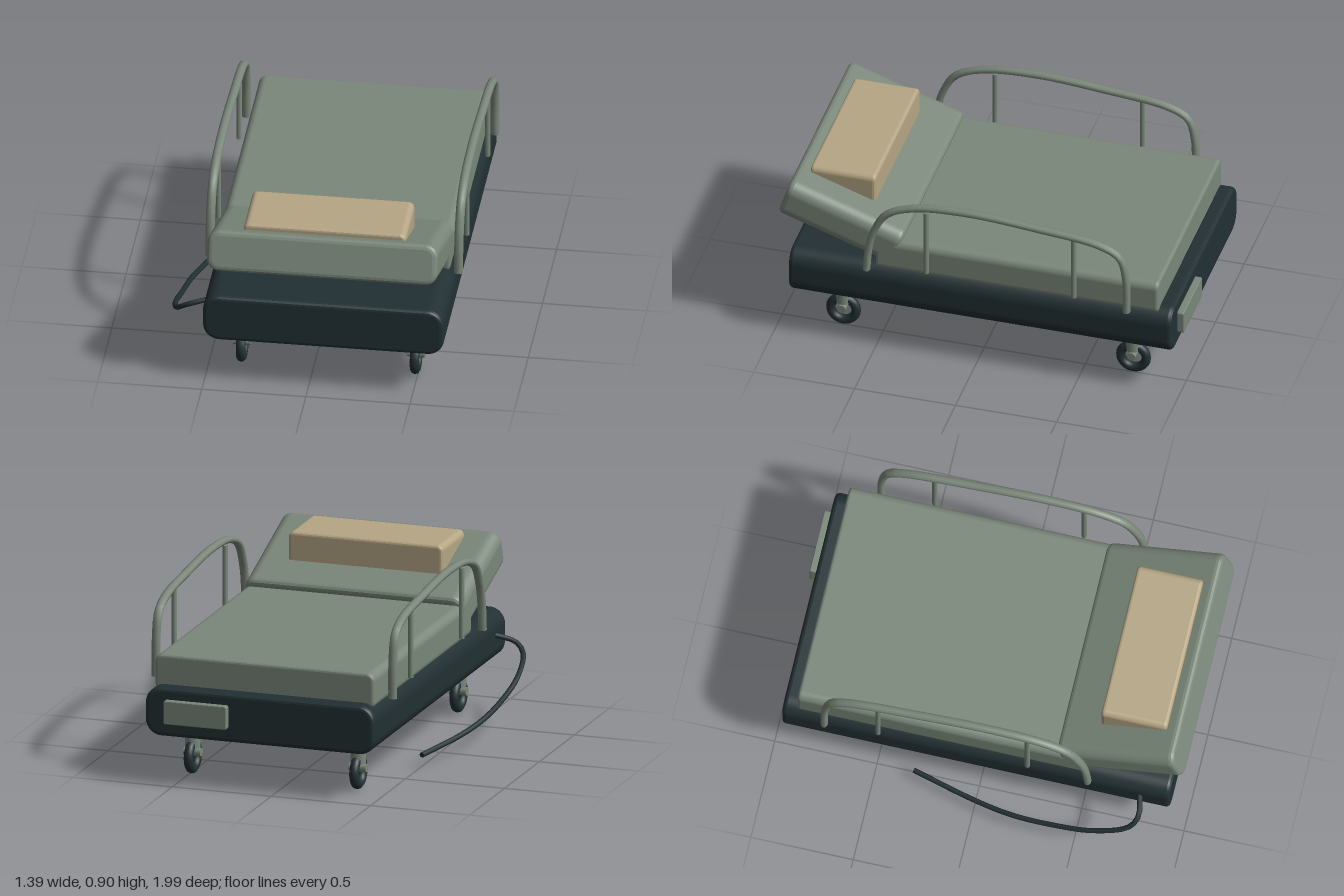
import * as THREE from 'three';

const MID = 0.0725; // centre line of the bed frame

// Rounded-rectangle profile run along z, with a small bevel on both ends
function slab(w, h, d, r, b) {
  const x = w / 2 - b, y = h / 2 - b, q = Math.max(r - b, 0.004);
  const s = new THREE.Shape();
  s.absarc(x - q, y - q, q, 0, Math.PI / 2);
  s.absarc(-x + q, y - q, q, Math.PI / 2, Math.PI);
  s.absarc(-x + q, -y + q, q, Math.PI, Math.PI * 1.5);
  s.absarc(x - q, -y + q, q, Math.PI * 1.5, Math.PI * 2);
  s.closePath();
  const g = new THREE.ExtrudeGeometry(s, {
    depth: d - 2 * b, bevelEnabled: true, bevelSize: b, bevelThickness: b,
    bevelSegments: 3, curveSegments: 6, steps: 1,
  });
  g.translate(0, 0, -(d - 2 * b) / 2);
  return g;
}

// Smooth tube through points, with closed ends
function cappedTube(parent, name, points, radius, segments, sides, material) {
  const group = new THREE.Group();
  group.name = name;
  const curve = new THREE.CatmullRomCurve3(points.map((p) => new THREE.Vector3(...p)));
  group.add(new THREE.Mesh(new THREE.TubeGeometry(curve, segments, radius, sides), material));
  for (const t of [0, 1]) {
    const cap = new THREE.Mesh(new THREE.CircleGeometry(radius, sides), material);
    const p = curve.getPointAt(t);
    cap.position.copy(p);
    cap.lookAt(p.clone().addScaledVector(curve.getTangentAt(t), t ? 1 : -1));
    group.add(cap);
  }
  group.children.forEach((m) => { m.name = name; });
  parent.add(group);
  return group;
}

export function createModel() {
  const frameDark = new THREE.MeshStandardMaterial({ color: 0x223033 });
  frameDark.name = 'dark frame';
  const greyGreen = new THREE.MeshStandardMaterial({ color: 0x7b887b });
  greyGreen.name = 'grey green';
  const sand = new THREE.MeshStandardMaterial({ color: 0xb5a684 });
  sand.name = 'sand fabric';

  const bed = new THREE.Group();
  bed.name = 'hospitalBed';
  const add = (name, geometry, material, x, y, z, parent = bed) => {
    const mesh = new THREE.Mesh(geometry, material);
    mesh.name = name;
    mesh.position.set(x, y, z);
    parent.add(mesh);
    return mesh;
  };

  // Base, mattress and raised backrest
  add('base', slab(1.157, 0.24, 1.895, 0.08, 0.02), frameDark, MID, 0.355, -0.018);
  add('mattress', slab(1.107, 0.18, 1.4, 0.04, 0.015), greyGreen, MID, 0.53, -0.195);
  const backrest = add('backrest', slab(1.107, 0.2, 0.6, 0.06, 0.025), greyGreen, MID, 0.657, 0.681);
  backrest.rotation.x = -THREE.MathUtils.degToRad(19);

  // Pillow and foot-end plate
  add('pillow', slab(0.78, 0.17, 0.322, 0.03, 0.015), sand, MID, 0.772, 0.712);
  add('footPlate', slab(0.318, 0.116, 0.035, 0.01, 0.005), greyGreen, 0.387, 0.363, -0.9825);

  // Side rails with two uprights each
  const railPath = [
    [0.535, 0.468], [0.523, 0.6], [0.497, 0.7], [0.435, 0.805], [0.3, 0.865], [0.04, 0.887],
    [-0.3, 0.865], [-0.62, 0.825], [-0.715, 0.775], [-0.748, 0.66], [-0.752, 0.468],
  ];
  for (const side of [-1, 1]) {
    const rail = new THREE.Group();
    rail.name = side > 0 ? 'leftRail' : 'rightRail';
    rail.position.x = MID + side * 0.597;
    bed.add(rail);
    const tube = cappedTube(rail, 'railTube', railPath.map(([z, y]) => [0, y, z]), 0.018, 56, 10, greyGreen);
    tube.scale.x = 1.22;
    for (const z of [0.24, -0.49]) {
      add('railUpright', new THREE.CylinderGeometry(0.013, 0.013, 0.35, 10), greyGreen, 0, 0.677, z, rail);
    }
  }

  // Four casters: stem, axle and ring wheel
  for (const x of [-0.346, 0.489]) {
    for (const z of [0.7, -0.735]) {
      const caster = new THREE.Group();
      caster.name = 'caster';
      caster.position.set(x, 0, z);
      bed.add(caster);
      add('casterStem', new THREE.CylinderGeometry(0.037, 0.037, 0.13, 16), greyGreen, 0, 0.195, 0, caster);
      const axle = add('casterAxle', new THREE.CylinderGeometry(0.021, 0.021, 0.086, 14), greyGreen, 0, 0.107, 0, caster);
      axle.rotation.z = Math.PI / 2;
      const wheel = add('casterWheel', new THREE.TorusGeometry(0.063, 0.023, 10, 24), frameDark, 0, 0.087, 0, caster);
      wheel.rotation.y = Math.PI / 2;
    }
  }

  // Trailing power cable
  cappedTube(bed, 'powerCable', [
    [-0.48, 0.378, 0.78], [-0.6, 0.345, 0.8], [-0.648, 0.305, 0.765], [-0.68, 0.235, 0.6],
    [-0.675, 0.178, 0.42], [-0.655, 0.132, 0.2], [-0.61, 0.1, 0], [-0.518, 0.072, -0.315],
  ], 0.013, 40, 8, frameDark);

  return bed;
}
